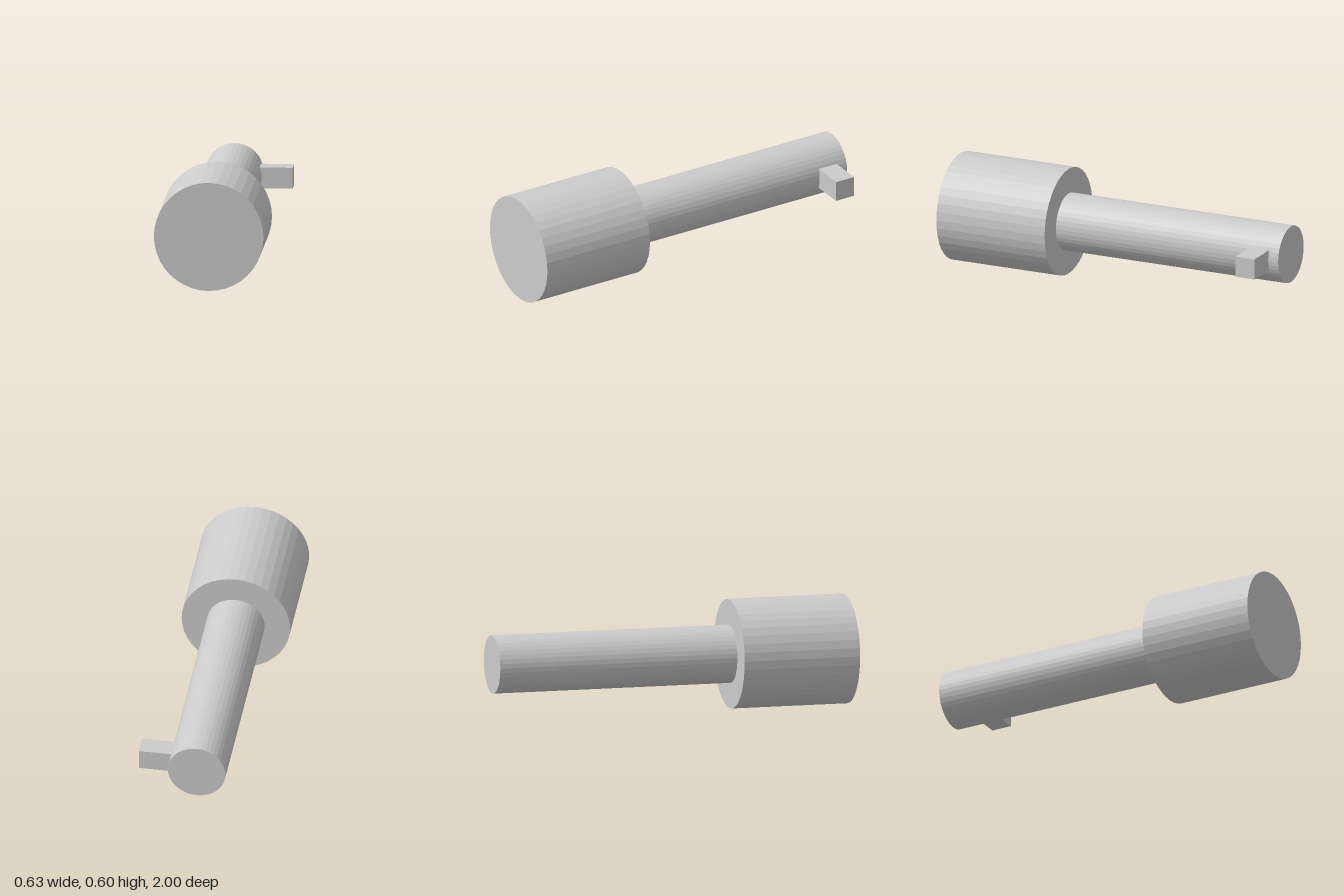
import * as THREE from 'three';

export function createModel() {
  const model = new THREE.Group();
  const grey = new THREE.MeshStandardMaterial({ color: 0xcccccc });
  grey.name = 'plain grey';
  grey.flatShading = true;

  const axisX = -0.015, axisY = 0.299;

  // Faceted cylinder lying along z between two depths
  function rod(name, radius, zBack, zFront) {
    const geometry = new THREE.CylinderGeometry(radius, radius, zFront - zBack, 40);
    geometry.rotateX(Math.PI / 2);
    const mesh = new THREE.Mesh(geometry, grey);
    mesh.name = name;
    mesh.position.set(axisX, axisY, (zBack + zFront) / 2);
    model.add(mesh);
  }

  rod('head', 0.299, 0.345, 1);
  rod('shaft', 0.159, -1, 0.345);

  // Square peg standing out from the side of the shaft, rooted inside it
  const peg = new THREE.Mesh(new THREE.BoxGeometry(0.253, 0.115, 0.115), grey);
  peg.name = 'peg';
  peg.position.set(0.187, axisY, -0.882);
  model.add(peg);

  return model;
}
